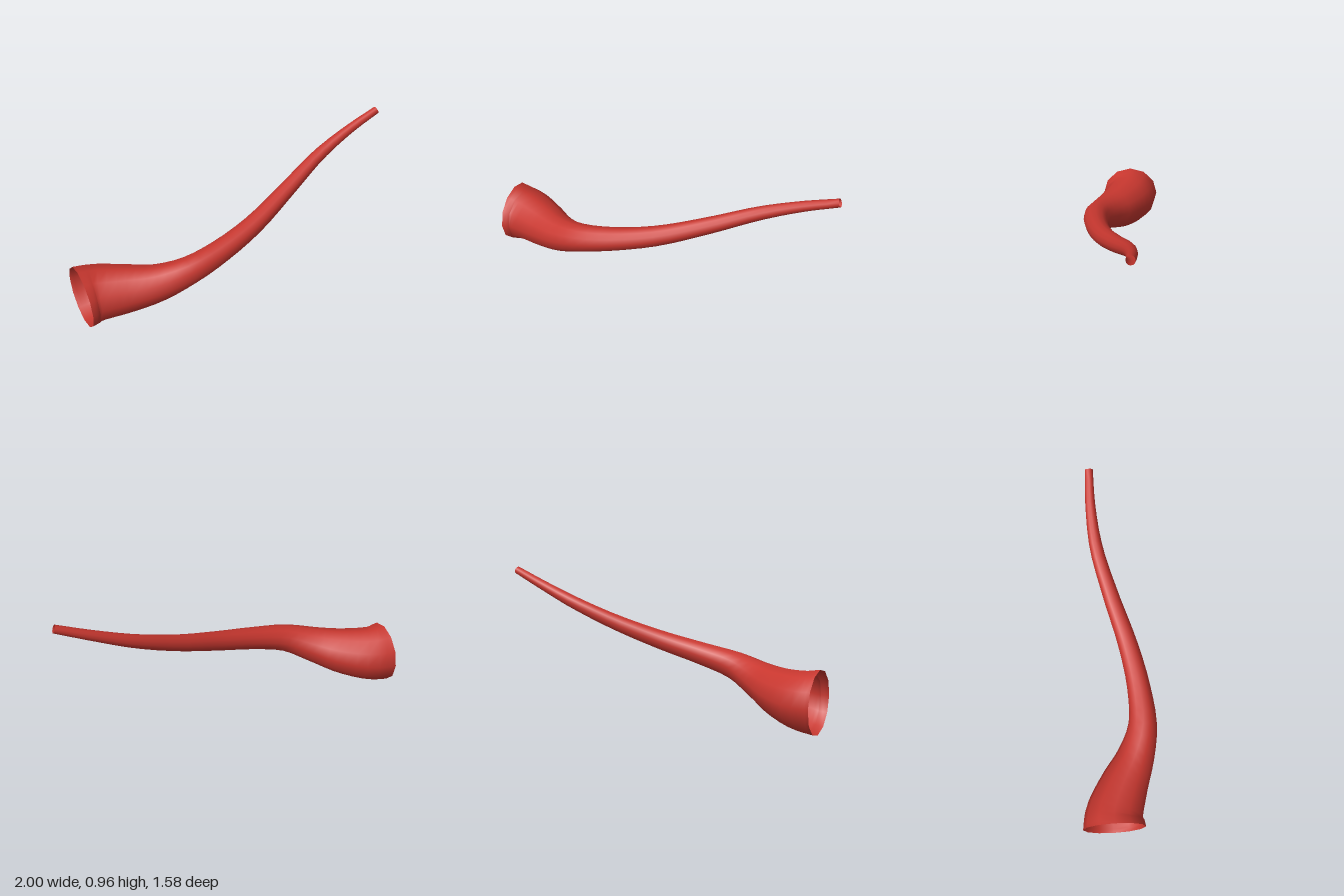
import * as THREE from 'three';

const SIDES = 12, RINGS = 32;

// Centre line stations from wide mouth to narrow tip: x, y, z, radius
const STATIONS = [
  [-0.875, 0.213, 0.62, 0.211],
  [-0.8, 0.213, 0.57, 0.196],
  [-0.6, 0.23, 0.52, 0.166],
  [-0.4, 0.27, 0.487, 0.129],
  [-0.2, 0.337, 0.418, 0.098],
  [0, 0.4, 0.26, 0.08],
  [0.2, 0.478, 0.045, 0.068],
  [0.4, 0.594, -0.22, 0.056],
  [0.6, 0.73, -0.468, 0.045],
  [0.8, 0.848, -0.643, 0.034],
  [0.981, 0.942, -0.77, 0.027],
];

// Open tapering tube swept along the curved centre line
function hornGeometry() {
  const centre = new THREE.CatmullRomCurve3(STATIONS.map(s => new THREE.Vector3(s[0], s[1], s[2])));
  const radius = new THREE.CatmullRomCurve3(STATIONS.map((s, i) => new THREE.Vector3(i, s[3], 0)), false, 'catmullrom');
  const up = new THREE.Vector3(0, 1, 0);
  const mouthAxis = new THREE.Vector3(0.81, 0, -0.59).normalize();
  const positions = [], indices = [];
  for (let i = 0; i <= RINGS; i++) {
    const t = i / RINGS;
    const c = centre.getPoint(t), r = radius.getPoint(t).y;
    // The rim stands upright, then the rings follow the curve
    const axis = centre.getTangent(t).lerp(mouthAxis, Math.max(0, 1 - t * 10)).normalize();
    const side = axis.clone().cross(up).normalize();
    const top = side.clone().cross(axis);
    for (let j = 0; j < SIDES; j++) {
      const a = j / SIDES * Math.PI * 2;
      const p = c.clone().addScaledVector(side, r * Math.sin(a)).addScaledVector(top, r * Math.cos(a));
      positions.push(p.x, p.y, p.z);
      if (i < RINGS) {
        const k = i * SIDES + j, n = i * SIDES + (j + 1) % SIDES;
        indices.push(k, n, k + SIDES, n, n + SIDES, k + SIDES);
      }
    }
  }
  const geometry = new THREE.BufferGeometry();
  geometry.setAttribute('position', new THREE.Float32BufferAttribute(positions, 3));
  geometry.setIndex(indices);
  geometry.computeVertexNormals();
  return geometry;
}

export function createModel() {
  const red = new THREE.MeshStandardMaterial({ color: 0xc8372f, side: THREE.DoubleSide });
  red.name = 'red';
  const horn = new THREE.Mesh(hornGeometry(), red);
  horn.name = 'horn';
  const model = new THREE.Group();
  model.name = 'curvedHorn';
  model.add(horn);
  return model;
}
